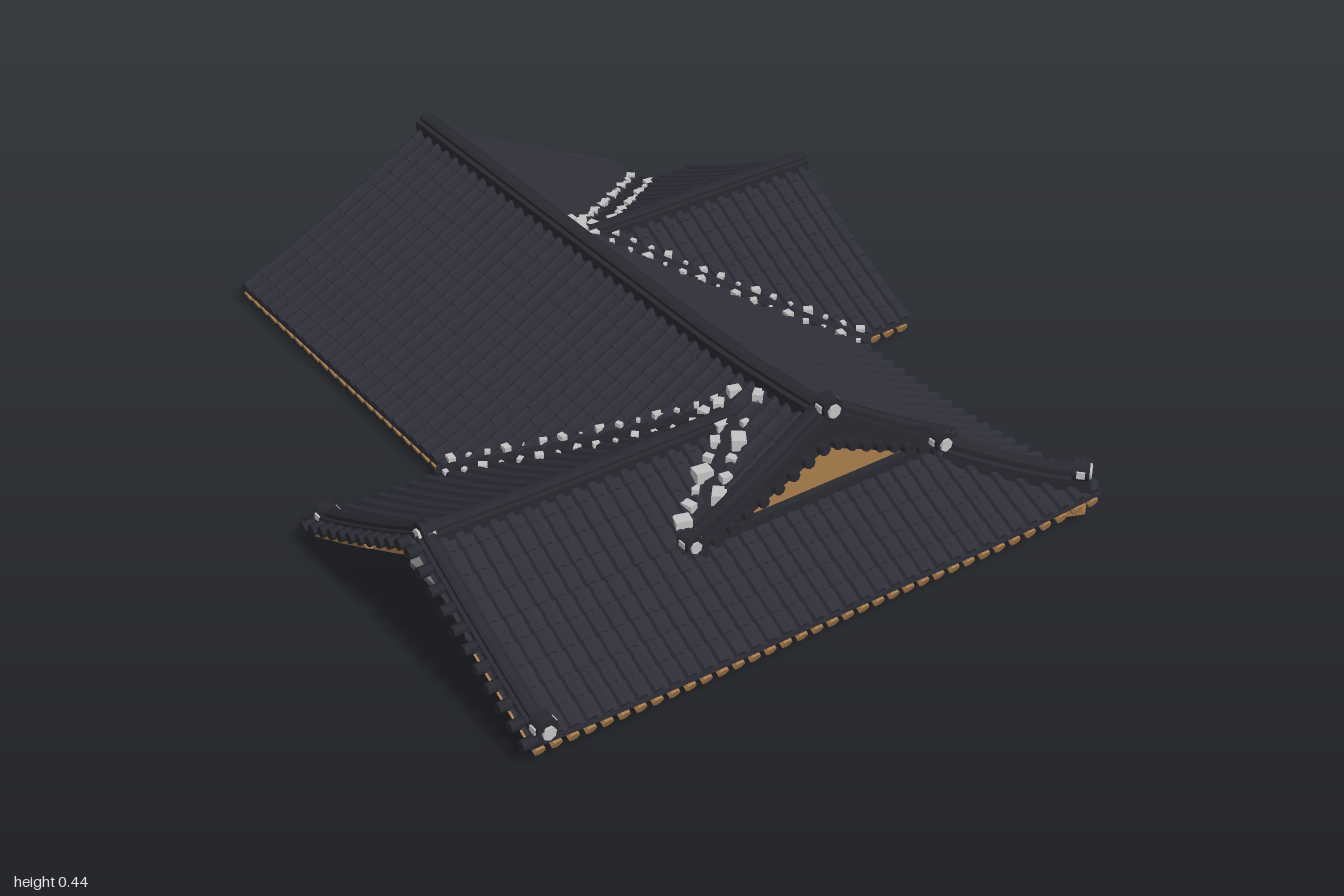
import * as THREE from 'three';
import { mergeGeometries } from 'three/addons/utils/BufferGeometryUtils.js';

const mat = (name, color, side = THREE.FrontSide) =>
  Object.assign(new THREE.MeshStandardMaterial({ color, side }), { name });
const clamp = (v) => Math.min(1, Math.max(0, v));

// Roof layout: main ridge along z, one wing on each side with its ridge along x
const RX = 0.105, LZ = 0.487, WZ = -0.36, GABLE = 0.72;
const corner = (x, z) => (clamp((x - 0.2) / 0.5) * clamp((z - 0.3) / 0.68)) ** 2 * 0.06;
const wing = (d) => 0.3 - 0.58 * d + 0.137 * d * d;
const yMain = (x, z) => {
  const d = Math.abs(x - RX);
  return 0.36 - 0.6 * d + 0.14 * d * d + corner(x, z)
    + 0.035 * clamp((z - 0.2) / 0.5) ** 2 * Math.max(0, 1 - d / 0.4);
};
const yLeft = (x, z) => wing(Math.abs(z - LZ)) + corner(x, z) + 0.012 * clamp((-0.3 - x) / 0.5) ** 2;
const yRight = (x, z) => wing(Math.abs(z - WZ));

function geometryFrom(positions) {
  const g = new THREE.BufferGeometry();
  g.setAttribute('position', new THREE.Float32BufferAttribute(positions, 3));
  g.computeVertexNormals();
  return g;
}

// Sweep a counter-clockwise section along a path, kept upright, with end caps
function sweep(path, section, scales) {
  const pos = [], n = section.length;
  const rings = path.map((p, i) => {
    const a = Math.max(0, i - 1), b = Math.min(path.length - 1, i + 1);
    const tan = path[b].clone().sub(path[a]).normalize();
    const side = new THREE.Vector3().crossVectors(tan, new THREE.Vector3(0, 1, 0)).normalize();
    const up = new THREE.Vector3().crossVectors(side, tan);
    const s = scales ? scales[i] : 1;
    return section.map(([u, v]) => p.clone().addScaledVector(side, u * s).addScaledVector(up, v * s));
  });
  const tri = (...ps) => ps.forEach((p) => pos.push(p.x, p.y, p.z));
  for (let i = 0; i < rings.length - 1; i++) {
    for (let j = 0; j < n; j++) {
      const k = (j + 1) % n, A = rings[i], B = rings[i + 1];
      tri(A[j], B[j], A[k]);
      tri(A[k], B[j], B[k]);
    }
  }
  const last = rings[rings.length - 1];
  for (let j = 1; j < n - 1; j++) {
    tri(rings[0][0], rings[0][j], rings[0][j + 1]);
    tri(last[0], last[j + 1], last[j]);
  }
  return geometryFrom(pos);
}

const circle = (r, n, arc = Math.PI * 2) => Array.from({ length: n }, (_, i) => {
  const a = i / (arc < 6 ? n - 1 : n) * arc;
  return [Math.cos(a) * r, Math.sin(a) * r];
});
const rect = (w, y0, y1) => [[-w, y0], [w, y0], [w, y1], [-w, y1]];
const ridgeSection = (w, h) => [[-w, -0.02], [w, -0.02], [w, h * 0.45], [w * 0.6, h * 0.5],
  [w * 0.6, h * 0.8], [w * 0.3, h], [-w * 0.3, h], [-w * 0.6, h * 0.8], [-w * 0.6, h * 0.5], [-w, h * 0.45]];

export function createModel() {
  const root = new THREE.Group();
  root.name = 'tiledRoof';
  const tile = mat('roof tile', 0x2e2e38, THREE.DoubleSide);
  const cap = mat('ridge tile', 0x282830);
  const wood = mat('timber', 0xa87c4c, THREE.DoubleSide);
  const plaster = mat('wall plaster', 0xb4b4b4);
  const mortar = mat('pale mortar', 0xc2c2c2);
  const beam = mat('grey beam', 0x5c5e60);
  const add = (name, geo, m, parent = root) => {
    const mesh = new THREE.Mesh(geo, m);
    mesh.name = name;
    parent.add(mesh);
    return mesh;
  };
  const V = (x, y, z) => new THREE.Vector3(x, y, z);

  // One roof slope: flat tile sheet, rows of cover tiles, soffit and rafters
  function slope(name, v0, v1, at, yOf, visible, wallT) {
    const group = new THREE.Group();
    group.name = name;
    root.add(group);
    const point = (t, v, off) => {
      const [x, z] = at(t, v);
      return V(x, yOf(x, z) + off, z);
    };
    const clip = (v) => {
      let lo = 2, hi = -1;
      for (let i = 0; i <= 200; i++) {
        if (!visible(...at(i / 200, v))) continue;
        lo = Math.min(lo, i / 200);
        hi = i / 200;
      }
      return hi > lo ? [lo, hi] : null;
    };
    const sheet = [], soffit = [], covers = [], rafters = [];
    const quad = (out, a, b, c, d) => [a, b, c, c, b, d].forEach((p) => out.push(p.x, p.y, p.z));
    const strip = (out, a, b, va, vb, off, steps) => {
      for (let i = 0; i < steps; i++) {
        const P = (e, v, k) => point(e[0] + (e[1] - e[0]) * k / steps, v, off);
        quad(out, P(a, va, i), P(b, vb, i), P(a, va, i + 1), P(b, vb, i + 1));
      }
    };
    const n = Math.round((v1 - v0) / 0.044), step = (v1 - v0) / n;
    for (let r = 0; r < n; r++) {
      const va = v0 + r * step, vb = va + step, vm = va + step / 2;
      const m = clip(vm);
      const a = clip(va) || m, b = clip(vb) || m;
      if (!a || !b) continue;
      strip(sheet, a, b, va, vb, 0, 8);
      if (a[1] > 0.99 && b[1] > 0.99) {
        quad(sheet, point(1, va, 0), point(1, vb, 0), point(1, va, -0.014), point(1, vb, -0.014));
      }
      const inner = (e) => [Math.min(Math.max(e[0], wallT), e[1]), e[1] - 0.005];
      if (wallT < 1 && a[1] > wallT && b[1] > wallT) strip(soffit, inner(a), inner(b), va, vb, -0.014, 3);
      if (!m) continue;
      // overlapping cover tiles, each a little wider at its lower end
      const len = point(m[0], vm, 0).distanceTo(point(m[1], vm, 0));
      const count = Math.max(1, Math.round(len / 0.055)), path = [], scales = [];
      for (let i = 0; i < count; i++) {
        [0.01, 1].forEach((f) => {
          path.push(point(m[0] + (m[1] - m[0]) * (i + f) / count, vm, 0.001));
          scales.push(f < 0.5 ? 0.85 : 1.1);
        });
      }
      covers.push(sweep(path, circle(0.0135, 5, Math.PI), scales));
      const w = inner(m);
      if (wallT < 1 && w[1] - w[0] > 0.04) {
        const pts = [0, 0.5, 1].map((f) => point(w[0] + (w[1] - w[0]) * f, vm, -0.03));
        rafters.push(sweep(pts, circle(0.0145, 8)));
      }
    }
    add('tileSheet', geometryFrom(sheet), tile, group);
    add('coverTiles', mergeGeometries(covers), tile, group);
    if (rafters.length) {
      add('soffit', geometryFrom(soffit), wood, group);
      add('rafters', mergeGeometries(rafters), wood, group);
    }
  }

  const flare = (v, from, span) => 0.035 * clamp((v - from) / span) ** 2;
  slope('mainSlopeLeft', -1, 0.985, (t, z) => [RX + t * (0.575 + flare(z, 0.2, 0.78)), z], yMain,
    (x, z) => (z > GABLE ? yMain(x, z) <= yLeft(x, z) : Math.abs(z - WZ) > 0.47 || yMain(x, z) >= yRight(x, z)), 0.6);
  slope('mainSlopeRight', -1, GABLE, (t, z) => [RX - t * 0.575, z], yMain,
    (x, z) => z < 0.02 || yMain(x, z) >= yLeft(x, z), 0.62);
  slope('rightWingBackSlope', -0.85, 0.1, (t, x) => [x, LZ - t * 0.467], yLeft,
    (x, z) => x < -0.47 || yLeft(x, z) >= yMain(x, z), 0.47);
  slope('rightWingFrontSlope', -0.85, 0.1, (t, x) => [x, LZ + t * (0.7 - LZ)], yLeft,
    (x, z) => x < -0.47 || yLeft(x, z) >= yMain(x, z), 1);
  slope('frontSkirt', -0.85, 0.715, (t, x) => [x, 0.7 + t * (0.255 + flare(x, 0.1, 0.6))], yLeft,
    (x, z) => x < RX || yLeft(x, z) <= yMain(x, z), 0.03);
  for (const s of [-1, 1]) {
    slope(s < 0 ? 'leftWingBackSlope' : 'leftWingFrontSlope', 0.12, 0.87, (t, x) => [x, WZ + s * t * 0.47], yRight,
      (x, z) => x > 0.68 || yRight(x, z) >= yMain(x, z), 0.46);
  }

  // Ridges, barges and the front hip, all following the roof surface
  const roofPath = (x0, z0, x1, z1, yOf, off = 0, n = 12) => Array.from({ length: n + 1 }, (_, i) => {
    const x = x0 + (x1 - x0) * i / n, z = z0 + (z1 - z0) * i / n;
    return V(x, yOf(x, z) + off, z);
  });
  const ridge = (name, w, h, ...p) => add(name, sweep(roofPath(...p), ridgeSection(w, h)), cap);
  ridge('mainRidge', 0.03, 0.03, RX, -1, RX, 0.72, yMain);
  ridge('rightWingRidge', 0.027, 0.025, 0.08, LZ, -0.83, LZ, yLeft);
  ridge('leftWingRidge', 0.027, 0.025, 0.14, WZ, 0.87, WZ, yRight);
  ridge('frontBargeRight', 0.028, 0.04, RX, 0.7, -0.28, 0.7, yMain);
  ridge('frontBargeLeft', 0.028, 0.04, RX, 0.7, 0.49, 0.7, yMain);
  ridge('hipRidge', 0.026, 0.05, 0.44, 0.735, 0.7, 0.965, (x, z) => Math.min(yMain(x, z), yLeft(x, z)));
  ridge('wingBargeBack', 0.024, 0.03, -0.815, LZ, -0.815, 0.03, yLeft);
  ridge('wingBargeFront', 0.024, 0.03, -0.815, LZ, -0.815, 0.95, yLeft);

  // Dark verge under the front barges, with round tile ends, and the flat course at its foot
  const vergeY = (x) => 0.345 - 0.45 * Math.abs(x - RX);
  const vergeTiles = [];
  for (const s of [-1, 1]) {
    add('frontVerge', sweep(roofPath(RX, 0.712, RX + s * 0.36, 0.712, vergeY), rect(0.01, -0.03, 0.035)), cap);
    for (let d = 0.02; d < 0.36; d += 0.042) {
      vergeTiles.push(new THREE.CylinderGeometry(0.014, 0.014, 0.05, 8).rotateX(Math.PI / 2)
        .translate(RX + s * d, vergeY(RX + s * d) - 0.015, 0.715));
    }
  }
  add('gableFoot', new THREE.BoxGeometry(0.66, 0.025, 0.03).translate(RX, 0.191, 0.715), cap);
  // Short tiles and a timber barge board along the end of the right wing
  for (const s of [-1, 1]) {
    for (let d = 0.02; d < 0.46; d += 0.044) {
      const z = LZ + s * d;
      vergeTiles.push(new THREE.CylinderGeometry(0.014, 0.014, 0.05, 8).rotateZ(Math.PI / 2)
        .translate(-0.847, yLeft(-0.85, z) - 0.002, z));
    }
    add('bargeBoard', sweep(roofPath(-0.785, LZ, -0.785, LZ + s * 0.44, yLeft), rect(0.006, -0.062, -0.008)), wood);
  }
  add('vergeTiles', mergeGeometries(vergeTiles), cap);

  // Valleys with uneven mortar chips along both edges
  const valleyY = (x, z) => Math.max(yMain(x, z), z < 0.2 && x > 0.1 ? yRight(x, z) : yLeft(x, z));
  const chips = [];
  const chip = (x, z, size, turn) => chips.push(new THREE.BoxGeometry(size, size * 0.7, size * 0.8)
    .rotateY(turn).translate(x, valleyY(x, z) + 0.012, z));
  [[0.19, WZ, 0.71, 0.14, 0.017], [0.19, WZ, 0.71, -0.86, 0.017], [0, LZ - 0.02, -0.49, 0, 0.016],
    [0, LZ + 0.03, -0.26, 0.7, 0.03]].forEach(([x0, z0, x1, z1, size]) => {
    add('valley', sweep(roofPath(x0, z0, x1, z1, valleyY, 0.004), rect(0.017, -0.01, 0.012)), cap);
    const dx = x1 - x0, dz = z1 - z0, len = Math.hypot(dx, dz);
    for (let d = 0.02, i = 0; d < len; d += 0.045, i++) {
      for (const s of [-1, 1]) {
        const x = x0 + dx * d / len - s * dz / len * 0.028, z = z0 + dz * d / len + s * dx / len * 0.028;
        chip(x, z, size * (1 + 0.4 * Math.sin(i * 2.3 + s)), i);
      }
    }
  });
  // mortar lumps where the wing ridges meet the main slopes
  [[0.15, -0.385], [0.19, -0.39], [0.23, -0.395], [0.15, -0.335], [0, 0.45], [-0.03, 0.44], [0.04, 0.455], [0.06, 0.52]]
    .forEach(([x, z], i) => chip(x, z, 0.03, i));
  add('valleyMortar', mergeGeometries(chips), mortar);

  // End ornaments: a round tile with a mortar face and crown, some with an upturned tip
  const ornament = (x, y, z, yaw, r, tip) => {
    const g = new THREE.Group();
    g.name = 'ridgeEnd';
    add('endTile', new THREE.CylinderGeometry(r, r, 0.04, 12).rotateX(Math.PI / 2), cap, g);
    add('mortarFace', new THREE.CylinderGeometry(r * 0.65, r * 0.65, 0.008, 7).rotateX(Math.PI / 2).translate(0, -r * 0.2, 0.022), mortar, g);
    add('mortarSide', new THREE.BoxGeometry(r * 2.15, r * 0.6, 0.02), mortar, g);
    if (tip) add('tip', new THREE.ConeGeometry(r * 0.45, tip, 6).rotateX(0.35).translate(0, r + tip * 0.25, 0.005), cap, g);
    g.position.set(x, y, z);
    g.rotation.y = yaw;
    root.add(g);
  };
  ornament(RX, 0.425, 0.715, 0, 0.027, 0);
  ornament(-0.81, 0.325, LZ, -Math.PI / 2, 0.024, 0.05);
  ornament(-0.27, 0.205, 0.715, 0, 0.023, 0);
  ornament(0.43, 0.215, 0.735, 0, 0.026, 0);
  ornament(0.675, 0.16, 0.955, Math.PI / 4, 0.03, 0.015);
  ornament(-0.81, 0.095, 0.94, 0, 0.027, 0);
  ornament(-0.81, 0.095, 0.04, Math.PI, 0.027, 0);
  ornament(0.16, 0.315, WZ, -Math.PI / 2, 0.024, 0);
  ornament(0.06, 0.305, LZ, Math.PI / 2, 0.024, 0);

  // Front timber gable and the plastered wing gable with its round timber panel
  const gable = new THREE.Shape();
  gable.moveTo(-0.19, 0.19).lineTo(0.4, 0.19).lineTo(RX, 0.335);
  add('frontGable', new THREE.ExtrudeGeometry(gable, { depth: 0.01, bevelEnabled: false }).translate(0, 0, 0.7), wood);
  const wingGable = new THREE.Shape();
  wingGable.moveTo(-0.217, 0.14).lineTo(0.217, 0.14).lineTo(0, 0.27);
  add('wingGable', new THREE.ExtrudeGeometry(wingGable, { depth: 0.02, bevelEnabled: false })
    .rotateY(-Math.PI / 2).translate(-0.71, 0, LZ), plaster);
  add('gablePanel', new THREE.CylinderGeometry(0.05, 0.05, 0.026, 16).rotateZ(Math.PI / 2).translate(-0.72, 0.15, LZ), wood);

  // Low walls under the eaves, each on a grey beam
  const outline = [[0.45, -1, 0.45, -0.57], [0.45, -0.57, 0.86, -0.57], [0.45, -0.14, 0.86, -0.14], [0.45, -0.14, 0.45, 0.7],
    [-0.72, 0.7, 0.45, 0.7], [-0.72, 0.27, -0.72, 0.7], [-0.72, 0.27, -0.25, 0.27], [-0.25, -1, -0.25, 0.27]];
  outline.forEach(([x0, z0, x1, z1]) => {
    const box = (name, y, h, t, m) => add(name, new THREE.BoxGeometry(Math.max(x1 - x0, t), h, Math.max(z1 - z0, t))
      .translate((x0 + x1) / 2, y, (z0 + z1) / 2), m);
    box('wall', 0.1, 0.068, 0.016, plaster);
    box('wallBeam', 0.06, 0.014, 0.02, beam);
  });

  // Diagonal corner beams below the hip and the valleys, dipping before their ends
  [[0.45, 0.7, 0.69, 0.96, 0.055, 0.025], [0.45, -0.14, 0.68, 0.11, 0.035, 0.03],
    [0.45, -0.57, 0.68, -0.83, 0.045, 0.045], [-0.25, 0.27, -0.46, 0.03, 0.055, 0.055]]
    .forEach(([x0, z0, x1, z1, y, dip]) => add('cornerBeam', sweep(
      [V(x0, 0.13, z0), V(x0 + (x1 - x0) * 0.78, dip, z0 + (z1 - z0) * 0.78), V(x1, y, z1)],
      rect(0.018, -0.018, 0.018)), wood));
  return root;
}
